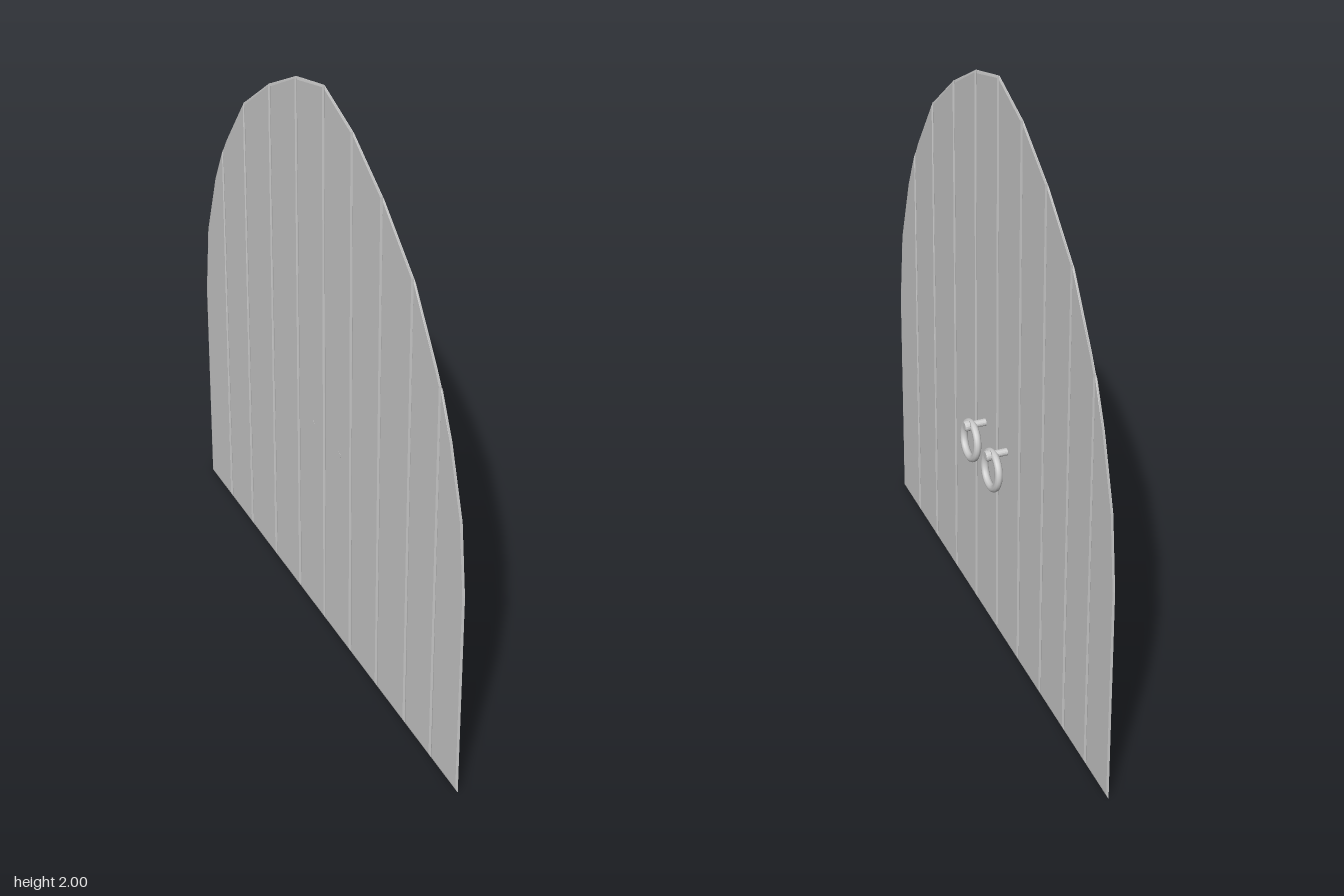
import * as THREE from 'three';

const material = new THREE.MeshStandardMaterial({ color: 0xcccccc, side: THREE.DoubleSide });

// Right half of the pointed arch, from the spring line to the apex: [half width, height]
const ARCH = [[0.916, 0], [0.916, 0.77], [0.886, 1.025], [0.812, 1.26], [0.742, 1.405],
  [0.712, 1.455], [0.567, 1.665], [0.374, 1.825], [0.186, 1.94], [0, 2]];
const JOINTS = [0, 0.186, 0.374, 0.567, 0.742, 0.916];
const BACK = -0.0395, THICK = 0.007, BEVEL = 0.009;

function add(parent, name, geometry) {
  const mesh = new THREE.Mesh(geometry, material);
  mesh.name = name;
  parent.add(mesh);
  return mesh;
}

// One plank between two joints, cut to the arch and chamfered on both faces
function plankGeometry(inner, outer, side) {
  const gap = 0.001;
  const top = ARCH.filter(([w]) => w >= inner && w <= outer)
    .filter(([w, h]) => h > 0)
    .map(([w, h]) => [w === inner ? w + gap : w === outer ? w - gap : w, h]);
  const points = [[inner + gap, 0], [outer - gap, 0], ...top]
    .map(([w, h]) => new THREE.Vector2(w * side, h));
  const bevelThickness = THICK * 0.4;
  const geometry = new THREE.ExtrudeGeometry(new THREE.Shape(points), {
    depth: THICK - 2 * bevelThickness, bevelThickness, bevelSize: BEVEL,
    bevelOffset: -BEVEL, bevelSegments: 1,
  });
  // Turn the plank so its face looks along +x
  return geometry.translate(0, 0, bevelThickness).rotateY(Math.PI / 2).translate(BACK, 0, 0);
}

// Ring pull hanging from a stem that passes through the door
function ringHandle(z) {
  const handle = new THREE.Group();
  handle.name = 'handle';
  const profile = [[0, -0.04], [0.012, -0.04], [0.012, 0.02], [0.018, 0.024],
    [0.018, 0.035], [0.014, 0.04], [0, 0.04]].map(([r, x]) => new THREE.Vector2(r, x));
  const stem = add(handle, 'handleStem',
    new THREE.LatheGeometry(profile, 16).toNonIndexed().rotateZ(-Math.PI / 2));
  stem.geometry.computeVertexNormals();
  stem.position.y = 0.747;
  const ring = add(handle, 'handleRing',
    new THREE.TorusGeometry(0.059, 0.0125, 10, 40).rotateY(Math.PI / 2));
  ring.position.set(0.018, 0.69, 0);
  ring.rotation.z = 0.09;
  handle.position.z = z;
  return handle;
}

export function createModel() {
  const model = new THREE.Group();
  model.name = 'archedDoor';

  // Two mirrored leaves of five planks each
  for (const side of [1, -1]) {
    const leaf = new THREE.Group();
    leaf.name = side > 0 ? 'rightLeaf' : 'leftLeaf';
    for (let i = 0; i < JOINTS.length - 1; i++) {
      add(leaf, 'plank', plankGeometry(JOINTS[i], JOINTS[i + 1], side));
    }
    model.add(leaf);
  }

  model.add(ringHandle(0.104), ringHandle(-0.081));
  return model;
}
